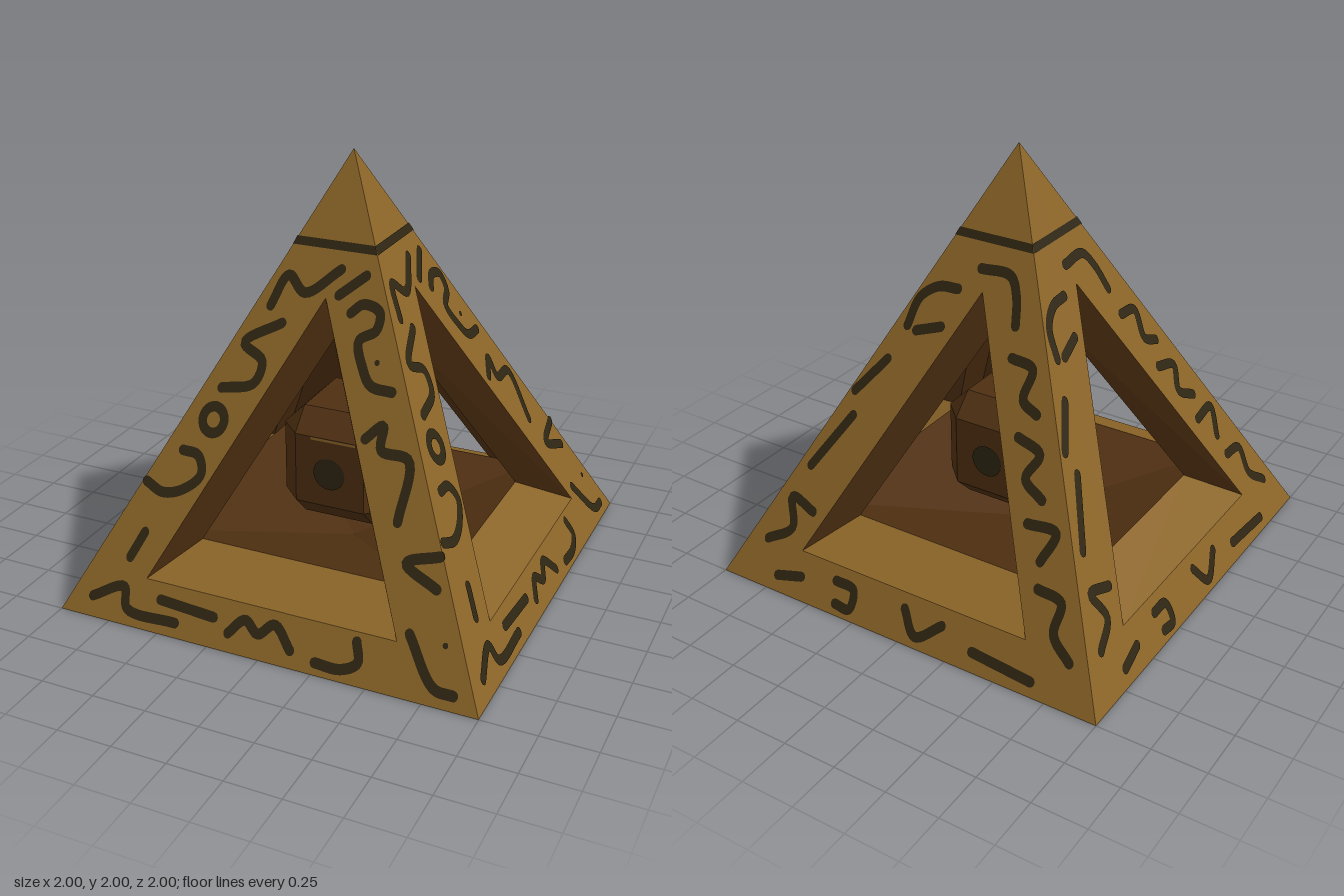
import * as THREE from 'three';
import { mergeGeometries } from 'three/addons/utils/BufferGeometryUtils.js';
import { ConvexGeometry } from 'three/addons/geometries/ConvexGeometry.js';

function makeMaterial(name, color) {
  const m = new THREE.MeshStandardMaterial({ color });
  m.name = name;
  return m;
}

function addMesh(parent, name, geometry, material) {
  const mesh = new THREE.Mesh(geometry, material);
  mesh.name = name;
  parent.add(mesh);
  return mesh;
}

// Flat polygons (corners counter-clockwise) split into fans
function polygons(list) {
  const pos = [];
  for (const p of list) {
    for (let i = 1; i < p.length - 1; i++) pos.push(...p[0], ...p[i], ...p[i + 1]);
  }
  const g = new THREE.BufferGeometry();
  g.setAttribute('position', new THREE.Float32BufferAttribute(pos, 3));
  g.computeVertexNormals();
  return g;
}

// Brush stroke: a flat ribbon with round ends through 2D points
function stroke(points, closed = false, half = 0.021) {
  const curve = new THREE.CatmullRomCurve3(
    points.map(([x, y]) => new THREE.Vector3(x, y, 0)), closed, 'centripetal');
  const steps = points.length * 6;
  const rail = [];
  for (let i = 0; i <= steps; i++) {
    const p = curve.getPoint(i / steps);
    const t = curve.getTangent(i / steps);
    rail.push([[p.x - t.y * half, p.y + t.x * half, 0], [p.x + t.y * half, p.y - t.x * half, 0]]);
  }
  const quads = [];
  for (let i = 0; i < steps; i++) {
    quads.push([rail[i][1], rail[i + 1][1], rail[i + 1][0], rail[i][0]]);
  }
  const parts = [polygons(quads)];
  for (const end of [points[0], points[points.length - 1]]) parts.push(dot(end, half));
  return mergeGeometries(parts);
}

function dot([x, y], r) {
  const g = new THREE.CircleGeometry(r, 12).toNonIndexed();
  g.deleteAttribute('uv');
  return g.translate(x, y, 0);
}

// Lean a flat drawing onto the sloping pyramid face
function lean(geometry, lift) {
  const p = geometry.attributes.position;
  for (let i = 0; i < p.count; i++) p.setZ(i, 1 - p.getY(i) / 2 + lift);
  geometry.computeVertexNormals();
  return geometry;
}

// Two carvings: one for the front and right sides, one for the back and left
const carvingA = [
  [[-0.25, 1.35], [-0.19, 1.48], [-0.10, 1.42], [0.05, 1.53]],
  [[0.06, 1.43], [0.17, 1.52]],
  [[0.13, 1.37], [0.18, 1.41], [0.26, 1.39], [0.26, 1.32], [0.19, 1.27], [0.23, 1.17], [0.28, 1.11], [0.38, 1.10]],
  [[-0.18, 1.29], [-0.34, 1.19], [-0.24, 1.13], [-0.26, 1.04], [-0.41, 1.0]],
  [[-0.54, 0.73], [-0.46, 0.72], [-0.43, 0.65], [-0.50, 0.58], [-0.60, 0.55], [-0.69, 0.58]],
  [[-0.65, 0.38], [-0.70, 0.27]],
  [[-0.85, 0.085], [-0.70, 0.15], [-0.67, 0.07], [-0.42, 0.06]],
  [[-0.51, 0.135], [-0.24, 0.12]],
  [[-0.16, 0.075], [-0.09, 0.14], [-0.02, 0.10], [0.05, 0.15], [0.14, 0.07]],
  [[0.26, 0.05], [0.38, 0.05], [0.45, 0.09], [0.43, 0.165]],
  [[0.65, 0.24], [0.79, 0.07], [0.88, 0.06]],
  [[0.72, 0.54], [0.58, 0.49], [0.73, 0.42]],
  [[0.30, 0.91], [0.37, 0.97], [0.38, 0.88], [0.51, 0.86], [0.51, 0.63]],
];
const carvingB = [
  [[-0.33, 1.21], [-0.30, 1.33], [-0.22, 1.39], [-0.12, 1.40]],
  [[-0.03, 1.50], [0.12, 1.50], [0.17, 1.43], [0.20, 1.32]],
  [[-0.52, 0.90], [-0.39, 1.06]],
  [[-0.28, 1.20], [-0.16, 1.24]],
  [[-0.66, 0.55], [-0.50, 0.80]],
  [[-0.59, 0.37], [-0.72, 0.40], [-0.68, 0.28], [-0.80, 0.20]],
  [[-0.70, 0.07], [-0.57, 0.10]],
  [[-0.38, 0.14], [-0.28, 0.13], [-0.28, 0.05], [-0.36, 0.05]],
  [[0.0, 0.14], [0.08, 0.05], [0.20, 0.13]],
  [[0.37, 0.08], [0.67, 0.06]],
  [[0.22, 1.20], [0.33, 1.18], [0.32, 1.06], [0.40, 1.02]],
  [[0.34, 0.92], [0.46, 0.88], [0.42, 0.78], [0.52, 0.72]],
  [[0.48, 0.62], [0.62, 0.62], [0.58, 0.50]],
  [[0.60, 0.40], [0.72, 0.38], [0.72, 0.26], [0.82, 0.18]],
];

export function createModel() {
  const gold = makeMaterial('aged gold', 0x8a6427);
  const brown = makeMaterial('dark bronze', 0x4e2f11);
  const ink = makeMaterial('carving black', 0x2e2512);

  const model = new THREE.Group();
  model.name = 'openPyramid';

  // Key corners: outer face, its opening, and the inner edge of the opening
  const apex = [0, 2, 0], baseL = [-1, 0, 1], baseR = [1, 0, 1];
  const openL = [-0.6, 0.2, 0.9], openR = [0.6, 0.2, 0.9], openTop = [0, 1.41, 0.295];
  const inL = [-0.45, 0.31, 0.655], inR = [0.45, 0.31, 0.655], inTop = [0, 1.19, 0.215];
  const cornerL = [-0.655, 0.31, 0.655], cornerR = [0.655, 0.31, 0.655];
  const inApex = [0, 1.62, 0], pit = [0, 0.1, 0];

  const frame = polygons([
    [baseL, baseR, openR, openL],
    [baseR, apex, openTop, openR],
    [apex, baseL, openL, openTop],
  ]);
  const sill = polygons([[openL, openR, inR, inL]]);
  const reveals = polygons([
    [openR, openTop, inTop, inR],
    [openTop, openL, inL, inTop],
  ]);
  const innerWall = polygons([
    [cornerR, inR, inTop, inApex],
    [inL, cornerL, inApex, inTop],
  ]);
  const floor = polygons([[cornerL, cornerR, pit]]);

  // Carvings, the ring glyph and the band below the tip
  const ring = Array.from({ length: 8 }, (_, i) => {
    const a = i * Math.PI / 4;
    return [-0.42 + 0.053 * Math.cos(a), 0.87 + 0.053 * Math.sin(a)];
  });
  const glyphsA = lean(mergeGeometries([
    ...carvingA.map((p) => stroke(p)), stroke(ring, true),
    dot([0.29, 1.2], 0.012), dot([0.81, 0.23], 0.012),
  ]), 0.005);
  const glyphsB = lean(mergeGeometries(carvingB.map((p) => stroke(p))), 0.005);
  const band = lean(polygons([
    [[-0.2, 1.602, 0], [0.2, 1.602, 0], [0.185, 1.637, 0], [-0.185, 1.637, 0]],
  ]), 0.004);

  // The same side four times around
  for (let k = 0; k < 4; k++) {
    const side = new THREE.Group();
    side.name = ['frontSide', 'rightSide', 'backSide', 'leftSide'][k];
    side.rotation.y = k * Math.PI / 2;
    addMesh(side, 'frame', frame, gold);
    addMesh(side, 'sill', sill, gold);
    addMesh(side, 'openingEdges', reveals, brown);
    addMesh(side, 'innerWall', innerWall, brown);
    addMesh(side, 'slopingFloor', floor, brown);
    addMesh(side, 'carvings', k < 2 ? glyphsA : glyphsB, ink);
    addMesh(side, 'tipBand', band, ink);
    addMesh(side, 'cubeSpot', new THREE.CircleGeometry(0.078, 20), ink).position.set(0, 0.55, 0.278);
    model.add(side);
  }

  // Underside with an inlaid square line and a scratch
  addMesh(model, 'underside', new THREE.PlaneGeometry(2, 2).rotateX(Math.PI / 2), gold).position.y = 0.004;
  const r = Math.SQRT2;
  addMesh(model, 'undersideLine',
    new THREE.RingGeometry(0.738 * r, 0.762 * r, 4, 1, Math.PI / 4).rotateX(Math.PI / 2), ink);
  addMesh(model, 'undersideScratch',
    stroke([[-0.34, -0.3], [-0.27, -0.18], [-0.22, -0.1]]).rotateX(Math.PI / 2), ink);

  // Floating cube with bevelled edges
  const h = 0.272, f = 0.17;
  const corners = [];
  for (const sx of [-1, 1]) for (const sy of [-1, 1]) for (const sz of [-1, 1]) {
    corners.push(
      new THREE.Vector3(sx * h, sy * f, sz * f),
      new THREE.Vector3(sx * f, sy * h, sz * f),
      new THREE.Vector3(sx * f, sy * f, sz * h));
  }
  addMesh(model, 'floatingCube', new ConvexGeometry(corners), brown).position.y = 0.553;
  addMesh(model, 'wornEdge', new THREE.PlaneGeometry(0.22, 0.012), gold).position.set(0.02, 0.716, 0.276);

  return model;
}
